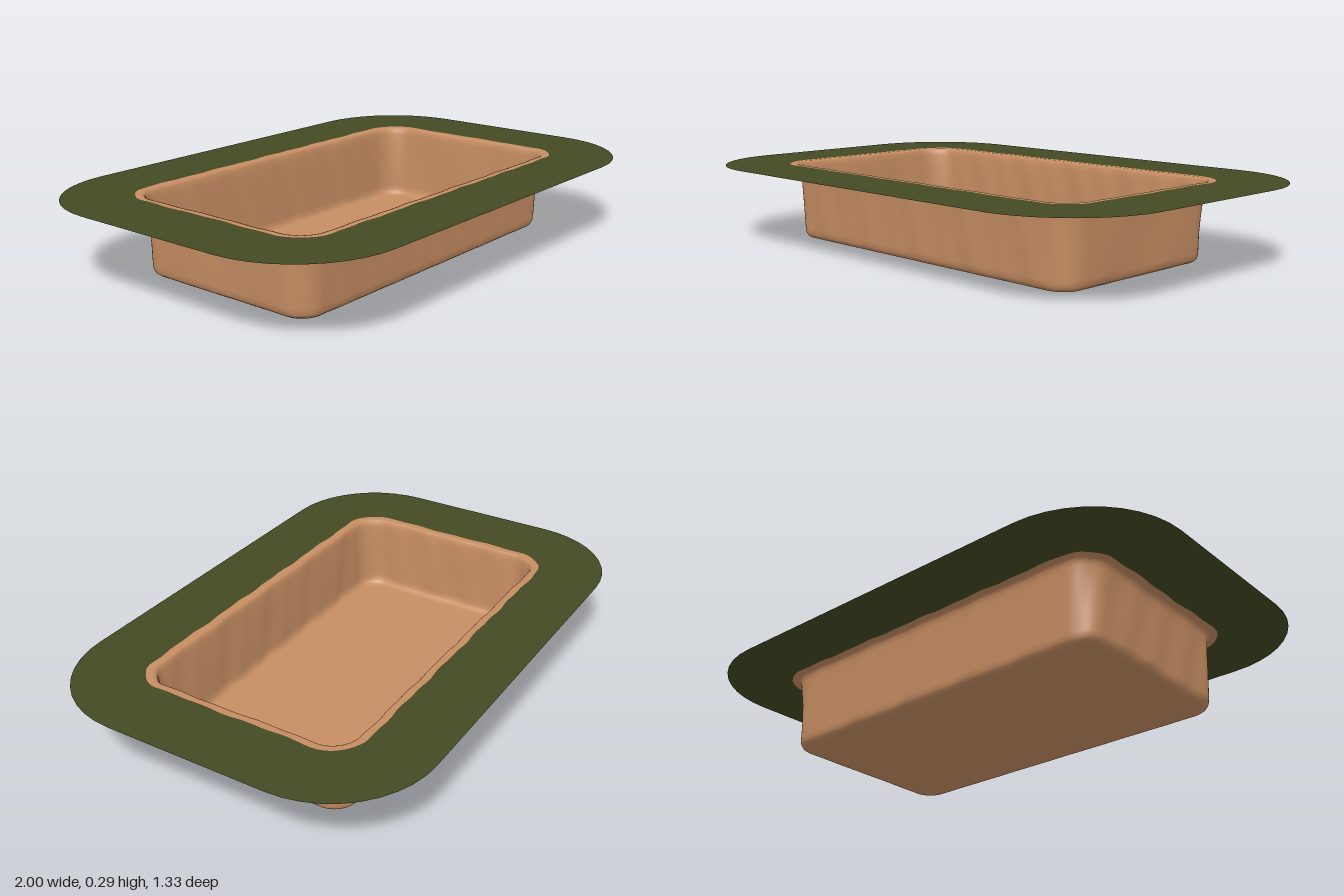
import * as THREE from 'three';

const CORNER = 10, LONG = 44, SHORT = 26;

// Slight hand-made unevenness, smooth along the wall
const ripple = (x, z, y) =>
  Math.sin(x * 23 + z * 17 + y * 9) * 0.5 + Math.sin(x * 47 - z * 39 + y * 14 + 1.3) * 0.5;

// Rounded rectangle loop with the same point layout at any size
function loop([hw, hd, r, y, wobble = 0]) {
  const pts = [];
  const signs = [[1, 1], [-1, 1], [-1, -1], [1, -1]];
  signs.forEach(([sx, sz], q) => {
    const cx = sx * (hw - r), cz = sz * (hd - r);
    for (let i = 0; i <= CORNER; i++) {
      const a = (q + i / CORNER) * Math.PI / 2;
      pts.push([cx + r * Math.cos(a), cz + r * Math.sin(a), Math.cos(a), Math.sin(a)]);
    }
    // straight side towards the next corner
    const [nx, nz] = signs[(q + 1) % 4];
    const a = (q + 1) * Math.PI / 2, c = Math.cos(a), s = Math.sin(a);
    const n = q % 2 === 0 ? LONG : SHORT;
    for (let i = 1; i < n; i++) {
      const t = i / n;
      pts.push([
        THREE.MathUtils.lerp(cx, nx * (hw - r), t) + r * c,
        THREE.MathUtils.lerp(cz, nz * (hd - r), t) + r * s, c, s]);
    }
  });
  return pts.map(([x, z, nx, nz]) => {
    const d = wobble * ripple(x, z, y);
    return [x + nx * d, y, z + nz * d];
  });
}

// Skin a list of loops from the inside outwards
function loft(sections) {
  const loops = sections.map(loop), n = loops[0].length, index = [];
  for (let j = 0; j < loops.length - 1; j++) {
    for (let i = 0; i < n; i++) {
      const a = j * n + i, b = j * n + (i + 1) % n;
      index.push(a, b, a + n, b, b + n, a + n);
    }
  }
  const geo = new THREE.BufferGeometry();
  geo.setAttribute('position', new THREE.Float32BufferAttribute(loops.flat(2), 3));
  geo.setIndex(index);
  geo.computeVertexNormals();
  return geo;
}

export function createModel() {
  const group = new THREE.Group();
  const clay = new THREE.MeshStandardMaterial({ name: 'clay', color: 0xc68d62, side: THREE.DoubleSide });
  const grass = new THREE.MeshStandardMaterial({ name: 'grass', color: 0x434a23, side: THREE.DoubleSide });
  const add = (name, sections, material) => {
    const mesh = new THREE.Mesh(loft(sections), material);
    mesh.name = name;
    group.add(mesh);
  };

  const lipEdge = [0.752, 0.424, 0.125, 0.29, 0.004];

  // Floor, rounded foot, leaning walls and turned-out lip: half width, half depth, corner, height, wobble
  add('basin', [
    [0.3, 0, 0, 0.003],
    [0.62, 0.3, 0.05, 0.002],
    [0.67, 0.345, 0.06, 0.001],
    [0.684, 0.359, 0.07, 0.003, 0.001],
    [0.695, 0.369, 0.08, 0.01, 0.002],
    [0.702, 0.375, 0.085, 0.022, 0.003],
    [0.704, 0.377, 0.087, 0.04, 0.004],
    [0.707, 0.379, 0.09, 0.1, 0.004],
    [0.71, 0.382, 0.092, 0.16, 0.004],
    [0.713, 0.385, 0.094, 0.22, 0.004],
    [0.716, 0.388, 0.096, 0.262, 0.003],
    [0.719, 0.391, 0.098, 0.28, 0.003],
    [0.724, 0.396, 0.1, 0.288, 0.003],
    [0.732, 0.404, 0.108, 0.29, 0.003],
    lipEdge,
  ], clay);

  // Flat surround meeting the uneven lip
  add('surround', [lipEdge, [1, 0.665, 0.365, 0.29]], grass);

  return group;
}
